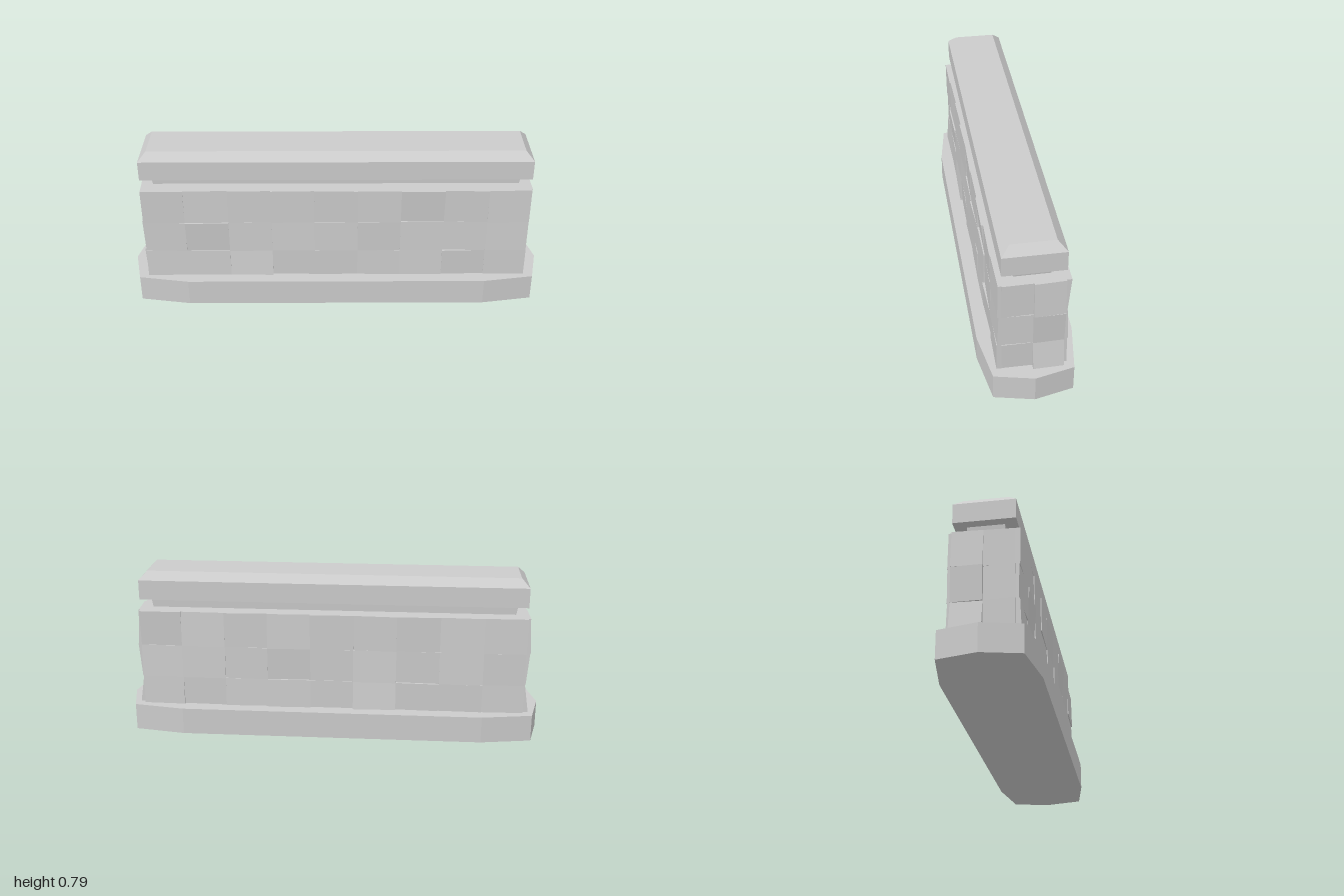
import * as THREE from 'three';

const material = new THREE.MeshStandardMaterial({ color: 0xcccccc, flatShading: true });

function addMesh(parent, name, geometry, y = 0) {
  const mesh = new THREE.Mesh(geometry, material);
  mesh.name = name;
  mesh.position.y = y;
  parent.add(mesh);
  return mesh;
}

// Box standing on y0 whose upper and lower ends may differ in size
function frustum(x0, z0, x1, z1, y0, y1) {
  const g = new THREE.BoxGeometry(2, 1, 2).translate(0, 0.5, 0);
  const p = g.attributes.position;
  for (let i = 0; i < p.count; i++) {
    const top = p.getY(i) > 0.5;
    p.setXYZ(i, p.getX(i) * (top ? x1 : x0), top ? y1 : y0, p.getZ(i) * (top ? z1 : z0));
  }
  g.computeVertexNormals();
  return g;
}

// Stone with a tilted outer face: depth, pitch (top out), yaw (right out)
function stone(u0, u1, y0, y1, inner, depth, pitch, yaw) {
  const g = new THREE.BoxGeometry(2, 2, 2);
  const p = g.attributes.position;
  for (let i = 0; i < p.count; i++) {
    const sx = p.getX(i), sy = p.getY(i), outer = p.getZ(i) > 0;
    p.setXYZ(i, sx > 0 ? u1 : u0, sy > 0 ? y1 : y0,
      outer ? depth + pitch * sy + yaw * sx : inner);
  }
  g.computeVertexNormals();
  return g;
}

export function createModel() {
  const group = new THREE.Group();
  let seed = 7;
  const jitter = (amount) => {
    seed = (seed * 16807) % 2147483647;
    return (seed / 2147483647 * 2 - 1) * amount;
  };

  // Plinth with cut-off, pointed ends
  const outline = [[1, 0], [0.96, 0.178], [0.72, 0.217], [-0.72, 0.217], [-0.96, 0.178],
    [-1, 0], [-0.96, -0.178], [-0.72, -0.217], [0.72, -0.217], [0.96, -0.178]];
  const shape = new THREE.Shape(outline.map(([x, z]) => new THREE.Vector2(x, z)));
  const plinth = new THREE.ExtrudeGeometry(shape, { depth: 0.13, bevelEnabled: false });
  addMesh(group, 'plinth', plinth.rotateX(-Math.PI / 2));

  // Wall core
  addMesh(group, 'wallCore', frustum(0.9, 0.13, 0.9, 0.13, 0.13, 0.603));

  // Long faces: three courses of nine uneven stones
  const rows = [0.13, 0.27, 0.43, 0.603];
  const edges = [-0.918, -0.72, -0.513, -0.308, -0.103, 0.103, 0.308, 0.513, 0.72, 0.918];
  const strongTilts = { '0,0,2': -0.007, '0,1,1': 0.006, '0,2,6': 0.008,
    '1,0,5': -0.007, '1,1,3': 0.006, '1,2,0': 0.007 };
  ['frontStones', 'backStones'].forEach((name, side) => {
    const wall = new THREE.Group();
    wall.name = name;
    wall.rotation.y = side * Math.PI;
    for (let r = 0; r < 3; r++) {
      for (let c = 0; c < 9; c++) {
        const pitch = strongTilts[[side, r, c].join()] ?? jitter(0.003);
        addMesh(wall, 'stone', stone(edges[c], edges[c + 1], rows[r], rows[r + 1],
          0.13, 0.153 + jitter(0.003), pitch, jitter(0.004)));
      }
    }
    group.add(wall);
  });

  // Short ends: two stones per course, the rear one standing further out
  const endPitch = [-0.011, 0.006, -0.005];
  [1, -1].forEach((side) => {
    const end = new THREE.Group();
    end.name = side > 0 ? 'leftEndStones' : 'rightEndStones';
    end.rotation.y = side * Math.PI / 2;
    for (let r = 0; r < 3; r++) {
      for (const half of [-1, 1]) {
        const rear = half === side;
        const pitch = rear ? endPitch[r] : jitter(0.003);
        addMesh(end, 'stone', stone(half < 0 ? -0.135 : 0, half < 0 ? 0 : 0.135,
          rows[r], rows[r + 1], 0.9, rear ? 0.932 : 0.92, pitch, jitter(0.004)));
      }
    }
    group.add(end);
  });

  // Recessed neck and chamfered coping
  addMesh(group, 'neck', frustum(0.865, 0.08, 0.875, 0.083, 0.6, 0.657));
  addMesh(group, 'coping', frustum(0.917, 0.137, 0.917, 0.137, 0.655, 0.749));
  addMesh(group, 'copingChamfer', frustum(0.917, 0.137, 0.88, 0.098, 0.749, 0.787));

  return group;
}
